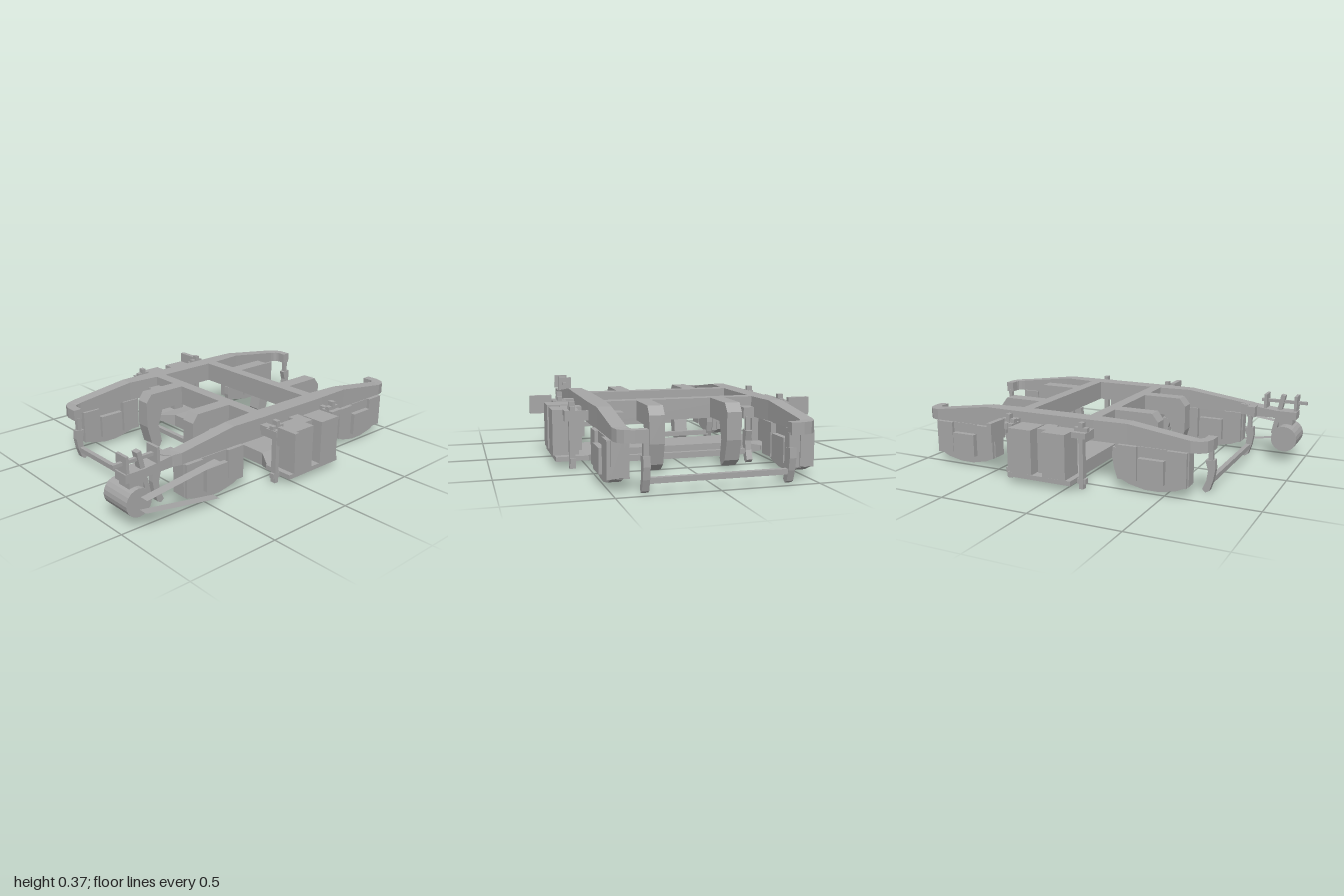
import * as THREE from 'three';

export function createModel() {
  const model = new THREE.Group();
  const truck = new THREE.Group(); // symmetric running gear, about its own centre
  truck.name = 'truck';
  truck.position.z = -0.14;
  model.add(truck);
  const steel = new THREE.MeshStandardMaterial({ color: 0xa6a6a6, flatShading: true });
  steel.name = 'greySteel';
  const belt = new THREE.MeshStandardMaterial({ color: 0xa6a6a6, side: THREE.DoubleSide });
  belt.name = 'greyBelt';

  const add = (parent, name, geo, mat = steel) => {
    const m = new THREE.Mesh(geo, mat);
    m.name = name;
    parent.add(m);
    return m;
  };
  // Box from its limits on each axis, in any order
  const box = (parent, name, x, y, z) => {
    const d = (r) => Math.abs(r[1] - r[0]), c = (r) => (r[0] + r[1]) / 2;
    const geo = new THREE.BoxGeometry(d(x), d(y), d(z));
    geo.translate(c(x), c(y), c(z));
    return add(parent, name, geo);
  };
  const times = (r, k) => r.map((v) => v * k);
  // Side profile of [z, y] points, given a width along x
  const profile = (parent, name, pts, x, width) => {
    const shape = new THREE.Shape(pts.map(([z, y]) => new THREE.Vector2(-z, y)));
    const geo = new THREE.ExtrudeGeometry(shape, { depth: width, bevelEnabled: false });
    geo.translate(0, 0, -width / 2);
    geo.rotateY(Math.PI / 2);
    geo.translate(x, 0, 0);
    return add(parent, name, geo);
  };
  // Skin over four-cornered rings, closed at both ends
  const loft = (parent, name, rings) => {
    const pos = [];
    const quad = (a, b, c, d) => pos.push(...a, ...b, ...c, ...a, ...c, ...d);
    for (let i = 0; i < rings.length - 1; i++) {
      const p = rings[i], q = rings[i + 1];
      for (let j = 0; j < 4; j++) {
        const k = (j + 1) % 4;
        quad(p[j], p[k], q[k], q[j]);
      }
    }
    quad(...[...rings[0]].reverse());
    quad(...rings[rings.length - 1]);
    const geo = new THREE.BufferGeometry();
    geo.setAttribute('position', new THREE.Float32BufferAttribute(pos, 3));
    geo.computeVertexNormals();
    return add(parent, name, geo);
  };

  // Side frames: outer x, z, inner x, z, top height, from middle to tip
  const half = [
    [0.5, 0.24, 0.405, 0.24, 0.35], [0.495, 0.43, 0.42, 0.43, 0.35],
    [0.495, 0.77, 0.425, 0.77, 0.303], [0.483, 0.815, 0.422, 0.79, 0.3],
    [0.455, 0.845, 0.41, 0.807, 0.3], [0.41, 0.86, 0.395, 0.812, 0.3],
    [0.345, 0.86, 0.345, 0.812, 0.3],
  ];
  const flip = half.map(([a, b, c, d, t]) => [a, -b, c, -d, t]).reverse();
  for (const s of [1, -1]) {
    const rings = [...flip, ...half].map(([ox, oz, ix, iz, t]) => [
      [s * ix, 0.24, iz], [s * ox, 0.24, oz], [s * ox, t, oz], [s * ix, t, iz],
    ]);
    loft(truck, 'sideFrame', s > 0 ? rings : rings.reverse());
  }

  // Spring plank, flaring out to the spring seats
  const plank = [[-0.5, 0.19, 0.035, 0.06], [-0.39, 0.118, 0, 0.075],
    [0.39, 0.118, 0, 0.075], [0.5, 0.19, 0.035, 0.06]];
  loft(truck, 'springPlank', plank.map(([x, h, b, t]) => [
    [x, b, h], [x, b, -h], [x, t, -h], [x, t, h],
  ]));

  for (const e of [1, -1]) {
    // Transoms and their brackets
    box(truck, 'transom', [-0.41, 0.41], [0.24, 0.35], times([0.175, 0.24], e));
    for (const s of [1, -1]) {
      profile(truck, 'brakeBracket', [
        [0.24, 0.245], [0.24, 0.35], [0.46, 0.35], [0.495, 0.305], [0.495, 0.16],
        [0.465, 0.05], [0.415, 0.012], [0.395, 0.05], [0.415, 0.15], [0.385, 0.245],
      ].map(([z, y]) => [z * e, y]), s * 0.205, 0.08);
    }

    // Axle guards and axle boxes
    const axle = 0.572 * e;
    for (const s of [1, -1]) {
      profile(truck, 'axleGuard', [
        [-0.195, 0.242], [-0.195, 0.065], [-0.13, 0.035], [-0.04, 0.016],
        [0.04, 0.016], [0.13, 0.035], [0.195, 0.065], [0.195, 0.242],
      ].map(([z, y]) => [axle + z, y]), s * 0.47, 0.06);
      box(truck, 'axleBox', times([0.41, 0.53], s), [0.06, 0.187], [axle - 0.07, axle + 0.07]);
      for (const f of [1, -1]) {
        box(truck, 'guardLeg', times([0.41, 0.517], s), [0.06, 0.242],
          [axle + f * 0.083, axle + f * 0.188]);

        // Brake shoes and hangers on both sides of the wheel
        const at = (z) => axle + f * e * z;
        profile(truck, 'brakeShoe', [
          [0.285, 0.18], [0.235, 0.175], [0.25, 0.12], [0.243, 0.07], [0.222, 0.02],
          [0.24, 0.003], [0.26, 0.015], [0.278, 0.07], [0.288, 0.13],
        ].map(([z, y]) => [at(z), y]), s * 0.355, 0.034);
        box(truck, 'brakeHanger', times([0.342, 0.368], s), [0.15, 0.25], [at(0.25), at(0.272)]);
      }
      box(truck, 'hangerBracket', times([0.33, 0.39], s), [0.24, 0.3], times([0.24, 0.315], e));
    }
    // Brake beams
    for (const z of [0.83, 0.311]) {
      box(truck, 'brakeBeam', [-0.35, 0.35], [0.05, 0.077], times([z - 0.013, z + 0.013], e));
    }
  }

  // Bolster springs on their seats, and swing hangers
  for (const s of [1, -1]) {
    box(truck, 'springSeat', times([0.49, 0.665], s), [0.035, 0.06], [-0.19, 0.19]);
    box(truck, 'springDivider', times([0.5, 0.61], s), [0.06, 0.3], [-0.035, 0.035]);
    for (const e of [1, -1]) {
      box(truck, 'springBox', times([0.54, 0.677], s), [0.065, 0.305], times([0.033, 0.167], e));
      const z = 0.218 * e;
      box(truck, 'swingHanger', times([0.568, 0.6], s), [0.003, 0.355], [z - 0.012, z + 0.012]);
      box(truck, 'hangerBlock', times([0.55, 0.625], s), [0.28, 0.31], [z - 0.04, z + 0.04]);
      box(truck, 'hangerArm', times([0.49, 0.625], s), [0.255, 0.305], [z + 0.025 * e, z]);
      box(truck, 'hangerNut', times([0.572, 0.598], s), [0.31, 0.33], [z - 0.038, z + 0.038]);
      box(truck, 'lowerPin', times([0.57, 0.598], s), [0.03, 0.058], [z - 0.024, z + 0.024]);
    }
    // Side plates, at opposite corners
    box(truck, 'sidePlate', times([0.625, 0.748], s), [0.235, 0.336], times([0.222, 0.25], s));
    box(truck, 'sidePlateArm', times([0.49, 0.63], s), [0.28, 0.313], times([0.205, 0.25], s));
  }

  // Generator on a bracket ahead of the left frame
  const generator = new THREE.Group();
  generator.name = 'generator';
  model.add(generator);
  profile(generator, 'generatorBracket', [
    [0.62, 0.24], [0.62, 0.3], [0.66, 0.3], [0.84, 0.28], [0.95, 0.28], [0.95, 0.235],
  ], 0.438, 0.086);
  box(generator, 'generatorMount', [0.395, 0.48], [0.19, 0.24], [0.85, 0.93]);
  const drum = add(generator, 'generatorDrum', new THREE.CylinderGeometry(0.073, 0.073, 0.187, 20));
  drum.rotation.z = Math.PI / 2;
  drum.position.set(0.417, 0.135, 0.9);
  box(generator, 'tensionRod', [0.44, 0.46], [0.32, 0.337], [0.735, 1]);
  for (const z of [0.765, 0.94]) {
    box(generator, 'rodPlate', [0.405, 0.488], [0.285, 0.37], [z - 0.008, z + 0.008]);
  }
  profile(generator, 'tensionLever', [
    [0.875, 0.365], [0.85, 0.37], [0.8, 0.135], [0.825, 0.125],
  ], 0.45, 0.04);

  // Drive belt strips running back to the axle
  const strip = (x, front, back) => {
    const dz = front[0] - back[0], dy = front[1] - back[1];
    const m = add(generator, 'driveBelt', new THREE.PlaneGeometry(0.052, Math.hypot(dz, dy)), belt);
    m.rotation.x = Math.PI / 2 - Math.atan2(dy, dz);
    m.position.set(x, (front[1] + back[1]) / 2, (front[0] + back[0]) / 2);
  };
  strip(0.55, [0.9, 0.17], [0.45, 0.228]);
  strip(0.538, [0.9, 0.1], [0.45, 0.025]);

  return model;
}
